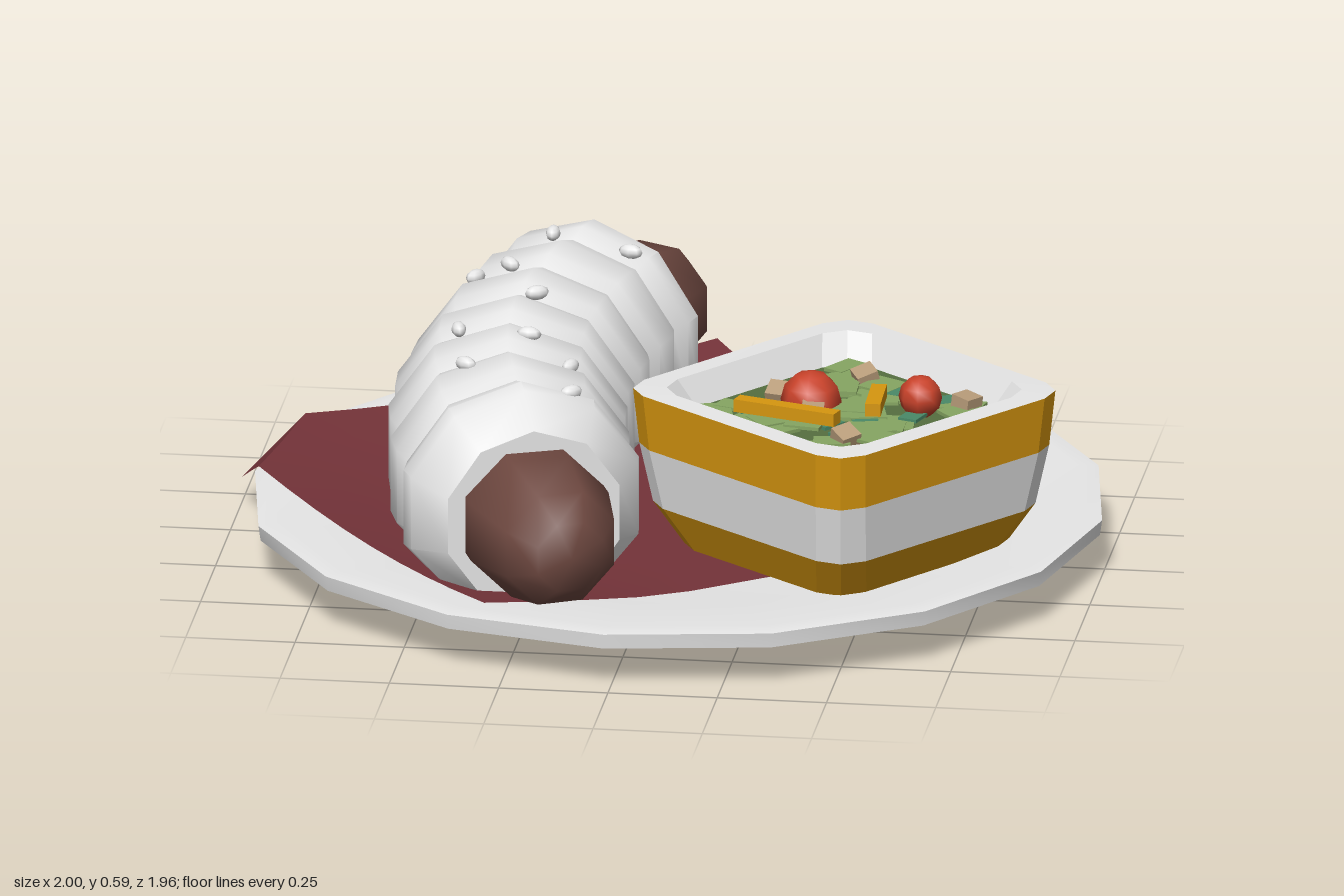
import * as THREE from 'three';
import { toCreasedNormals } from 'three/addons/utils/BufferGeometryUtils.js';

const paint = (name, color, side = THREE.FrontSide) => {
  const m = new THREE.MeshStandardMaterial({ color, side });
  m.name = name;
  return m;
};

// Skin a list of closed rings (arrays of [x, y, z]) into one surface
function loft(rings, crease) {
  const n = rings[0].length, index = [];
  for (let j = 0; j < rings.length - 1; j++) {
    for (let i = 0; i < n; i++) {
      const a = j * n + i, b = j * n + (i + 1) % n, c = a + n, d = b + n;
      index.push(a, c, b, b, c, d);
    }
  }
  const g = new THREE.BufferGeometry();
  g.setAttribute('position', new THREE.Float32BufferAttribute(rings.flat(2), 3));
  g.setIndex(index);
  g.computeVertexNormals();
  return toCreasedNormals(g, crease);
}

// Level square ring with cut corners
function squareRing([half, y], corner) {
  const r = Math.min(corner, half), pts = [];
  for (let k = 0; k < 4; k++) {
    const mid = (k + 0.5) * Math.PI / 2;
    for (let s = -1; s <= 1; s++) {
      const a = mid + s * Math.PI / 4;
      pts.push([Math.sign(Math.cos(mid)) * (half - r) + r * Math.cos(a), y,
        Math.sign(Math.sin(mid)) * (half - r) + r * Math.sin(a)]);
    }
  }
  return pts;
}
const squareLoft = (rows, corner, crease = 0.3) => loft(rows.map(r => squareRing(r, corner)), crease);

// The sausage and bun follow one bent centre line, front to back
const bendX = z => -0.35 + 0.29 * z * z;
function bentRing(z, radius, sides, floor = -1) {
  const len = Math.hypot(1, 0.58 * z), pts = [];
  for (let i = 0; i < sides; i++) {
    const a = (i + 0.5) / sides * Math.PI * 2, s = radius * Math.cos(a) / len;
    pts.push([bendX(z) + s, Math.max(floor, 0.3 + radius * Math.sin(a)), z - 0.58 * z * s]);
  }
  return pts;
}

export function createModel() {
  const white = paint('white', 0xe8e8e8);
  const maroon = paint('maroon', 0x743339, THREE.DoubleSide);
  const brown = paint('sausage brown', 0x6e4840);
  const mustard = paint('mustard yellow', 0xd6960f);
  const darkGreen = paint('dark green', 0x566f40);
  const lightGreen = paint('light green', 0x86a662);
  const teal = paint('teal green', 0x4a8a68);
  const red = paint('tomato red', 0xc8422a);
  const tan = paint('crouton tan', 0xb89c7a);

  const model = new THREE.Group();
  const add = (name, geometry, material, parent = model) => {
    const mesh = new THREE.Mesh(geometry, material);
    mesh.name = name;
    parent.add(mesh);
    return mesh;
  };
  const addGroup = (name, x, z, turn) => {
    const g = new THREE.Group();
    g.name = name;
    g.position.set(x, 0, z);
    g.rotation.y = turn;
    model.add(g);
    return g;
  };

  // Plate
  const profile = [[0, 0], [0.66, 0], [0.97, 0.095], [0.975, 0.13], [0.93, 0.135], [0.64, 0.09], [0, 0.09]]
    .map(p => new THREE.Vector2(...p));
  const plate = add('plate', toCreasedNormals(new THREE.LatheGeometry(profile, 16), 0.5), white);
  plate.position.x = 0.025;
  plate.rotation.y = -0.04;

  // Napkin: follows the plate, one corner folds down over the rim
  const cloth = new THREE.PlaneGeometry(1.33, 1.33, 10, 10).rotateX(-Math.PI / 2);
  const p = cloth.attributes.position;
  for (let i = 0; i < p.count; i++) {
    const u = p.getX(i), v = p.getZ(i);
    let x = -0.16 + u * 0.804 + v * 0.594;
    const z = -0.05 - u * 0.594 + v * 0.804;
    let y = 0.1 + Math.max(0, Math.hypot(x - 0.025, z) - 0.6) * 0.18;
    const over = -(u + v) / Math.SQRT2 - 0.753;
    if (over > 0) {
      x += over * 0.48;
      y = 0.165 - over * 0.55;
    }
    p.setXYZ(i, x, y, z);
  }
  add('napkin', toCreasedNormals(cloth, 0.4), maroon);

  // Sausage
  const tip = [[0.95, 0], [0.94, 0.085], [0.88, 0.14], [0.74, 0.175], [0.55, 0.175]];
  const sausage = [...tip, [0, 0.17], ...tip.map(([z, r]) => [0.02 - z, r]).reverse()];
  add('sausage', loft(sausage.map(([z, r]) => bentRing(z, r, 8)), 1.0), brown);

  // Bun: a row of plump segments with creases between
  const bun = addGroup('bun', 0, 0, 0);
  const count = 7, zFront = 0.69, segLen = 1.37 / count;
  for (let k = 0; k < count; k++) {
    const at = (t, s) => bentRing(zFront - (k + t) * segLen, 0.285 * s, 10, 0.1);
    const rings = [at(0, 0.91), at(0.25, 0.98), at(0.65, 1), at(1, 0.92)];
    if (k === 0) rings.splice(0, 2, at(0, 0), at(0, 0.74), at(0.45, 0.97));
    if (k === count - 1) rings.splice(2, 2, at(0.55, 0.97), at(1, 0.74), at(1, 0));
    add('bunSegment', loft(rings, 0.75), white, bun);
  }

  // Sesame seeds
  const seeds = [[-0.33, -0.5], [-0.15, -0.48], [-0.48, -0.3], [-0.4, -0.29], [-0.31, -0.08],
    [-0.46, 0.13], [-0.29, 0.2], [-0.18, 0.31], [-0.41, 0.38], [-0.15, 0.52]];
  seeds.forEach(([x, z], i) => {
    const dx = x - bendX(z);
    const seed = add('sesameSeed', new THREE.SphereGeometry(0.017, 8, 6), white, bun);
    seed.scale.z = 1.7;
    seed.position.set(x, 0.3 + Math.sqrt(0.277 ** 2 - dx * dx), z);
    seed.rotation.y = i * 1.3;
  });

  // Salad bowl with coloured bands
  const bowl = addGroup('saladBowl', 0.43, 0.19, -0.668);
  const bands = [
    ['bowlBase', [[0, 0.1], [0.28, 0.1], [0.33, 0.2]], mustard],
    ['bowlMiddleBand', [[0.33, 0.2], [0.352, 0.34]], white],
    ['bowlTopBand', [[0.352, 0.34], [0.362, 0.47]], mustard],
    ['bowlRim', [[0.362, 0.47], [0.308, 0.472], [0.27, 0.39]], white],
  ];
  for (const [name, rows, mat] of bands) add(name, squareLoft(rows, 0.08), mat, bowl);
  add('saladBed', squareLoft([[0.285, 0.405], [0, 0.41]], 0.07), darkGreen, bowl);

  // Chopped leaves as thin plates
  let state = 11;
  const rand = () => (state = (state * 16807) % 2147483647) / 2147483647;
  for (let i = 0; i < 44; i++) {
    const isTeal = i % 4 === 3, size = isTeal ? 0.06 : 0.085;
    const leaf = add('leaf', new THREE.BoxGeometry(size, 0.008, size * (0.6 + 0.5 * rand())), isTeal ? teal : lightGreen, bowl);
    leaf.position.set((rand() - 0.5) * 0.45, 0.41 + i * 0.0003, (rand() - 0.5) * 0.45);
    leaf.rotation.y = rand() * 3;
  }

  // Tomatoes, cheese strips and croutons
  for (const [x, z, r] of [[0.35, 0.16, 0.07], [0.6, 0.16, 0.05]]) {
    add('tomato', new THREE.SphereGeometry(r, 8, 6), red).position.set(x, 0.5 - r, z);
  }
  for (const [x, z, len, turn] of [[0.31, 0.27, 0.25, -0.3], [0.5, 0.17, 0.14, 1.6]]) {
    const strip = add('cheeseStrip', new THREE.BoxGeometry(len, 0.03, 0.035), mustard);
    strip.position.set(x, 0.44, z);
    strip.rotation.y = turn;
  }
  [[0.45, -0.03], [0.27, 0.11], [0.46, 0.39], [0.36, 0.23], [0.7, 0.12]].forEach(([x, z], i) => {
    const crouton = add('crouton', new THREE.BoxGeometry(0.05, 0.05, 0.05), tan);
    crouton.position.set(x, 0.42, z);
    crouton.rotation.set(0.2, 0.5 + i * 0.9, 0.2);
  });

  // Dip cup with a swirl of sauce
  const cup = addGroup('dipCup', 0.295, -0.45, 0.12);
  add('cup', squareLoft([[0, 0.1], [0.13, 0.1], [0.172, 0.18], [0.178, 0.235], [0.148, 0.238], [0.14, 0.2]], 0.045), white, cup);
  add('sauce', squareLoft([[0.148, 0.21], [0.155, 0.25], [0.14, 0.29], [0.09, 0.315], [0, 0.32]], 0.05, 0.9), mustard, cup);
  const spiral = [];
  for (let i = 0; i <= 12; i++) {
    const t = i / 12, a = 0.6 + t * 9.5, r = 0.105 * (1 - t) + 0.012;
    spiral.push(new THREE.Vector3(r * Math.cos(a), 0.295 + 0.045 * t, r * Math.sin(a)));
  }
  add('sauceSwirl', new THREE.TubeGeometry(new THREE.CatmullRomCurve3(spiral), 40, 0.032, 7), mustard, cup);

  return model;
}
